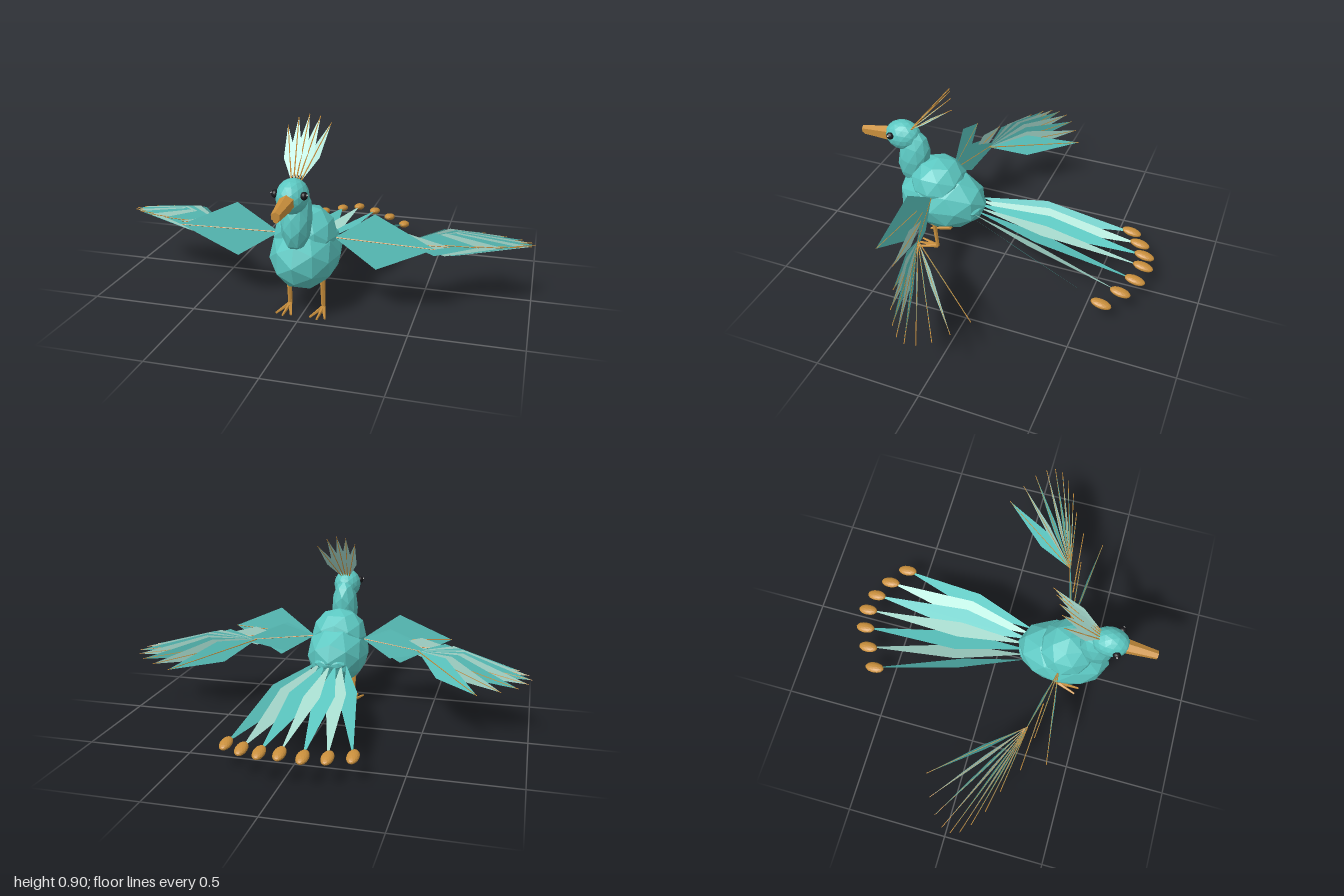
import * as THREE from 'three';

const V = (x, y, z) => new THREE.Vector3(x, y, z);

export function createModel() {
  const bird = new THREE.Group();
  bird.name = 'crestedBird';

  const paint = (name, color) => {
    const m = new THREE.MeshStandardMaterial({ color, flatShading: true, side: THREE.DoubleSide });
    m.name = name;
    return m;
  };
  const teal = paint('teal', 0x5cc8c2);
  const pale = paint('paleTeal', 0xaadfd2);
  const orange = paint('ochre', 0xc98f3c);
  const black = paint('black', 0x17161a);
  const white = paint('white', 0xf4f4f0);

  const add = (name, geo, mat, parent = bird) => {
    const mesh = new THREE.Mesh(geo, mat);
    mesh.name = name;
    parent.add(mesh);
    return mesh;
  };

  // faceted ellipsoid
  const blob = (name, mat, pos, size, tilt = 0, parent = bird, detail = 1) => {
    const m = add(name, new THREE.IcosahedronGeometry(1, detail), mat, parent);
    m.scale.set(...size);
    m.position.set(...pos);
    m.rotation.x = tilt;
    return m;
  };

  // tapered rod between two points
  const rod = (name, mat, a, b, ra, rb, sides, parent = bird) => {
    const d = b.clone().sub(a);
    const m = add(name, new THREE.CylinderGeometry(rb, ra, d.length(), sides), mat, parent);
    m.position.copy(a).addScaledVector(d, 0.5);
    m.quaternion.setFromUnitVectors(V(0, 1, 0), d.normalize());
    return m;
  };

  // flat diamond vane, widest at 42% of its length, spread along `across`
  const feather = (name, mat, root, tip, width, across, parent, rib = false) => {
    const dir = tip.clone().sub(root).normalize();
    const side = across.clone().addScaledVector(dir, -across.dot(dir)).setLength(width / 2);
    const mid = root.clone().lerp(tip, 0.42);
    const pts = [root, mid.clone().add(side), tip, mid.clone().sub(side)];
    const geo = new THREE.BufferGeometry().setFromPoints(pts);
    geo.setIndex([0, 1, 2, 0, 2, 3]);
    geo.computeVertexNormals();
    add(name, geo, mat, parent);
    if (rib) rod(name + 'Rib', orange, root, tip, 0.003, 0.002, 4, parent);
  };

  // body, back, neck and head
  blob('body', teal, [0, 0.285, 0.34], [0.16, 0.165, 0.235]);
  blob('back', teal, [0, 0.375, 0.355], [0.145, 0.137, 0.145]);
  blob('neck', teal, [0, 0.49, 0.487], [0.07, 0.15, 0.083], -0.18);
  blob('head', teal, [0, 0.607, 0.54], [0.07, 0.077, 0.092], 0, bird, 2);

  // beak
  rod('upperBeak', orange, V(0, 0.604, 0.6), V(0, 0.59, 0.765), 0.037, 0.021, 6);
  rod('lowerBeak', orange, V(0, 0.578, 0.6), V(0, 0.573, 0.76), 0.022, 0.012, 6);

  // eyes
  for (const s of [-1, 1]) {
    blob('eye', black, [s * 0.063, 0.625, 0.58], [0.016, 0.018, 0.019], 0, bird, 2);
    blob('eyeGlint', white, [s * 0.077, 0.63, 0.584], [0.004, 0.005, 0.005]);
  }

  // crest
  const crest = new THREE.Group();
  crest.name = 'crest';
  bird.add(crest);
  for (let i = -2; i <= 2; i++) {
    const tip = V(i * 0.043, 0.902 - 0.011 * i * i, 0.275 - i * 0.023);
    feather('crestFeather', pale, V(i * 0.01, 0.655, 0.49), tip, 0.055, V(1, 0, 0), crest, true);
  }

  // wings: forward covert, arm feathers and a fan of primaries
  const primaryTips = [
    [0.76, 0.22], [0.866, 0.177], [0.94, 0.13], [0.985, 0.088], [1, 0.045],
    [0.985, 0], [0.94, -0.05], [0.865, -0.097], [0.76, -0.145],
  ];
  for (const s of [-1, 1]) {
    const wing = new THREE.Group();
    wing.name = s > 0 ? 'leftWing' : 'rightWing';
    bird.add(wing);
    const up = V(0, 1, 0);
    const shoulder = V(s * 0.13, 0.36, 0.34);
    feather('forwardCovert', teal, shoulder, V(s * 0.588, 0.372, 0.396), 0.26, up, wing, true);
    feather('innerCovert', teal, shoulder, V(s * 0.475, 0.35, 0.31), 0.14, up, wing, true);
    feather('armFeather', teal, shoulder, V(s * 0.5, 0.335, 0.245), 0.15, up, wing, true);
    feather('secondary', pale, V(s * 0.3, 0.35, 0.31), V(s * 0.64, 0.345, 0.285), 0.1, up, wing, true);
    const wrist = V(s * 0.43, 0.338, 0.265);
    primaryTips.forEach(([x, z], i) => {
      const tip = V(s * x, 0.293 + 0.17 * z, z);
      const lean = i === 8 ? V(s * 0.3, 1, 0.3) : up;
      feather('primary', i % 2 ? pale : teal, wrist, tip, 0.11, lean, wing, true);
    });
  }

  // tail fan, cupped so the outer edges rise, each plume ending in a bead
  const tail = new THREE.Group();
  tail.name = 'tail';
  bird.add(tail);
  const tipZ = [-0.715, -0.7, -0.655, -0.59];
  for (let i = -3; i <= 3; i++) {
    const n = Math.abs(i);
    const roll = i * 0.28;
    const tip = V(i * 0.095, 0.145 - 0.012 * n, tipZ[n]);
    feather('tailPlume', n % 2 ? teal : pale, V(i * 0.028, 0.265, 0.16), tip,
      n === 0 ? 0.08 : 0.115, V(Math.cos(roll), Math.sin(roll), 0), tail);
    blob('tailBead', orange, [tip.x, tip.y, tip.z], [0.028, 0.018, 0.051], -0.18, tail, 2);
  }
  // tail crossbeads sit at the plume tips, so the root tuft closes the gap to the body
  blob('tailRoot', teal, [0, 0.27, 0.17], [0.09, 0.04, 0.06]);

  // legs and three-toed feet
  for (const s of [-1, 1]) {
    const leg = new THREE.Group();
    leg.name = s > 0 ? 'leftLeg' : 'rightLeg';
    bird.add(leg);
    const ankle = V(s * 0.08, 0.014, 0.345);
    rod('shank', orange, V(s * 0.08, 0.18, 0.36), ankle, 0.013, 0.01, 6, leg);
    for (const t of [-1, 0, 1]) {
      rod('toe', orange, ankle, V(s * 0.08 + t * 0.035, 0.007, 0.463 - 0.015 * Math.abs(t)), 0.01, 0.005, 5, leg);
    }
  }
  return bird;
}
